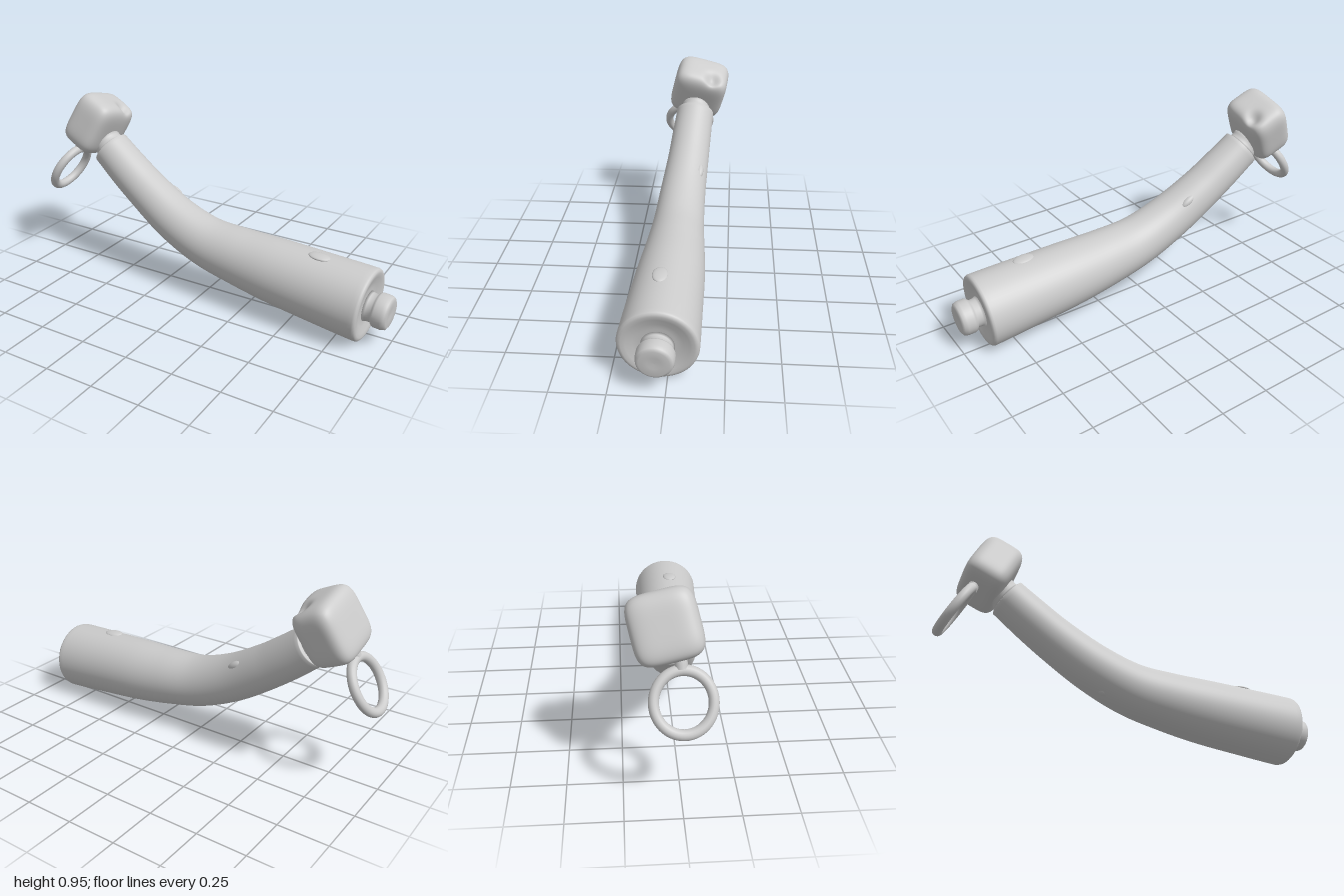
import * as THREE from 'three';
import { mergeVertices } from 'three/addons/utils/BufferGeometryUtils.js';

const V = (x, y, z) => new THREE.Vector3(x, y, z);

export function createModel() {
  const group = new THREE.Group();
  const material = new THREE.MeshStandardMaterial({ color: 0xcccccc, roughness: 0.7 });
  const add = (name, geometry) => {
    const mesh = new THREE.Mesh(geometry, material);
    mesh.name = name;
    group.add(mesh);
    return mesh;
  };

  // Lathe profile [radius, height] turned to run from a point along a direction
  const turned = (name, profile, from, dir) => {
    const mesh = add(name, new THREE.LatheGeometry(profile.map(p => new THREE.Vector2(...p)), 40));
    mesh.position.copy(from);
    mesh.quaternion.setFromUnitVectors(V(0, 1, 0), dir.clone().normalize());
    return mesh;
  };

  // Curved tapering handle: centre x, y, z and radius at each station
  const stations = [
    [-0.645, 0.665, -0.04, 0.103], [-0.52, 0.568, -0.027, 0.108], [-0.4, 0.482, -0.016, 0.112],
    [-0.2, 0.36, 0.003, 0.122], [0, 0.28, 0.012, 0.133], [0.2, 0.247, 0.016, 0.149],
    [0.4, 0.226, 0.022, 0.164], [0.65, 0.205, 0.032, 0.174], [0.88, 0.187, 0.04, 0.181],
  ];
  const path = new THREE.CatmullRomCurve3(stations.map(s => V(s[0], s[1], s[2])));
  const size = new THREE.SplineCurve(stations.map((s, i) => new THREE.Vector2(i, s[3])));
  const rings = [];
  const N = 64, SIDES = 48;
  const ringAt = (t, offset, radius) => {
    const tangent = path.getTangent(t);
    rings.push({ c: path.getPoint(t).addScaledVector(tangent, offset), tangent, radius });
  };
  // rounded narrow end, body, then rounded and dished wide end
  for (const [o, r] of [[-0.005, 0], [-0.005, 0.085], [-0.002, 0.098]]) ringAt(0, o, r);
  for (let i = 0; i <= N; i++) ringAt(i / N * 0.985, 0, size.getPoint(i / N * 0.985).y);
  for (const [o, r] of [[-0.005, 0.181], [0.004, 0.178], [0.01, 0.171], [0.012, 0.16], [0.008, 0.14], [-0.002, 0.11], [-0.006, 0.08], [-0.006, 0]]) ringAt(1, o, r);
  const positions = [], index = [];
  rings.forEach(({ c, tangent, radius }, i) => {
    const up = V(0, 0, 1).cross(tangent).normalize();
    const side = tangent.clone().cross(up);
    for (let j = 0; j < SIDES; j++) {
      const a = j / SIDES * Math.PI * 2;
      const p = c.clone().addScaledVector(up, Math.cos(a) * radius).addScaledVector(side, Math.sin(a) * radius);
      positions.push(p.x, p.y, p.z);
      if (i === 0) continue;
      const k = (j + 1) % SIDES, A = (i - 1) * SIDES, B = i * SIDES;
      index.push(A + j, A + k, B + j, A + k, B + k, B + j);
    }
  });
  const handle = new THREE.BufferGeometry();
  handle.setAttribute('position', new THREE.Float32BufferAttribute(positions, 3));
  handle.setIndex(index);
  handle.computeVertexNormals();
  add('handle', handle);

  // Soft rounded block head with a socket pressed into its upper back corner
  let block = new THREE.BoxGeometry(2, 2, 2, 28, 28, 28);
  block.deleteAttribute('uv');
  block.deleteAttribute('normal');
  block = mergeVertices(block);
  const half = V(0.11, 0.15, 0.147);
  const socket = V(0.055, 0.13, -0.055);
  const pos = block.attributes.position, p = V(0, 0, 0);
  for (let i = 0; i < pos.count; i++) {
    p.fromBufferAttribute(pos, i);
    const n = (Math.abs(p.x) ** 4.5 + Math.abs(p.y) ** 4.5 + Math.abs(p.z) ** 4.5) ** (1 / 4.5);
    p.divideScalar(n).multiply(half);
    const d = Math.hypot(p.x - socket.x, p.y - socket.y, p.z - socket.z);
    p.y -= 0.045 * Math.exp(-((d / 0.035) ** 2));
    pos.setXYZ(i, p.x, p.y, p.z);
  }
  block.computeVertexNormals();
  const head = add('head', block);
  head.position.set(-0.738, 0.785, -0.06);
  head.rotation.set(-0.25, 0, -0.45);

  // Collar joining handle and head
  turned('collar', [[0, 0], [0.088, 0], [0.08, 0.02], [0.078, 0.04], [0.085, 0.07], [0, 0.07]],
    V(-0.64, 0.663, -0.04), V(-0.75, 0.62, -0.08));

  // Hanging ring and its link
  const ring = add('ring', new THREE.TorusGeometry(0.126, 0.023, 16, 56));
  ring.position.set(-0.902, 0.523, 0.004);
  ring.scale.set(0.97, 1.03, 1);
  ring.rotation.set(0, Math.PI / 2, 0);
  ring.rotation.order = 'ZYX';
  ring.rotation.z = -0.52;
  const link = new THREE.CatmullRomCurve3([V(-0.835, 0.64, 0), V(-0.815, 0.69, -0.005), V(-0.775, 0.73, -0.015)]);
  add('ringLink', new THREE.TubeGeometry(link, 12, 0.027, 14));

  // Stepped knob on the wide end
  turned('endKnob', [[0, 0], [0.075, 0], [0.07, 0.012], [0.068, 0.035], [0.08, 0.045], [0.085, 0.055],
    [0.085, 0.09], [0.08, 0.107], [0.066, 0.116], [0.03, 0.113], [0, 0.112]],
    V(0.88, 0.183, 0.041), V(1, -0.07, 0.04));

  // Small raised pads on the handle
  const pads = [
    ['topButton', [0.63, 0.378, 0.05], [0.055, 0.012, 0.036], -0.06],
    ['backPad', [-0.26, 0.475, -0.085], [0.045, 0.02, 0.02], -0.55],
    ['undersidePad', [-0.165, 0.228, 0.04], [0.035, 0.018, 0.025], -0.45],
  ];
  for (const [name, at, scale, tilt] of pads) {
    const pad = add(name, new THREE.SphereGeometry(1, 24, 14));
    pad.position.set(...at);
    pad.scale.set(...scale);
    pad.rotation.z = tilt;
  }
  return group;
}
